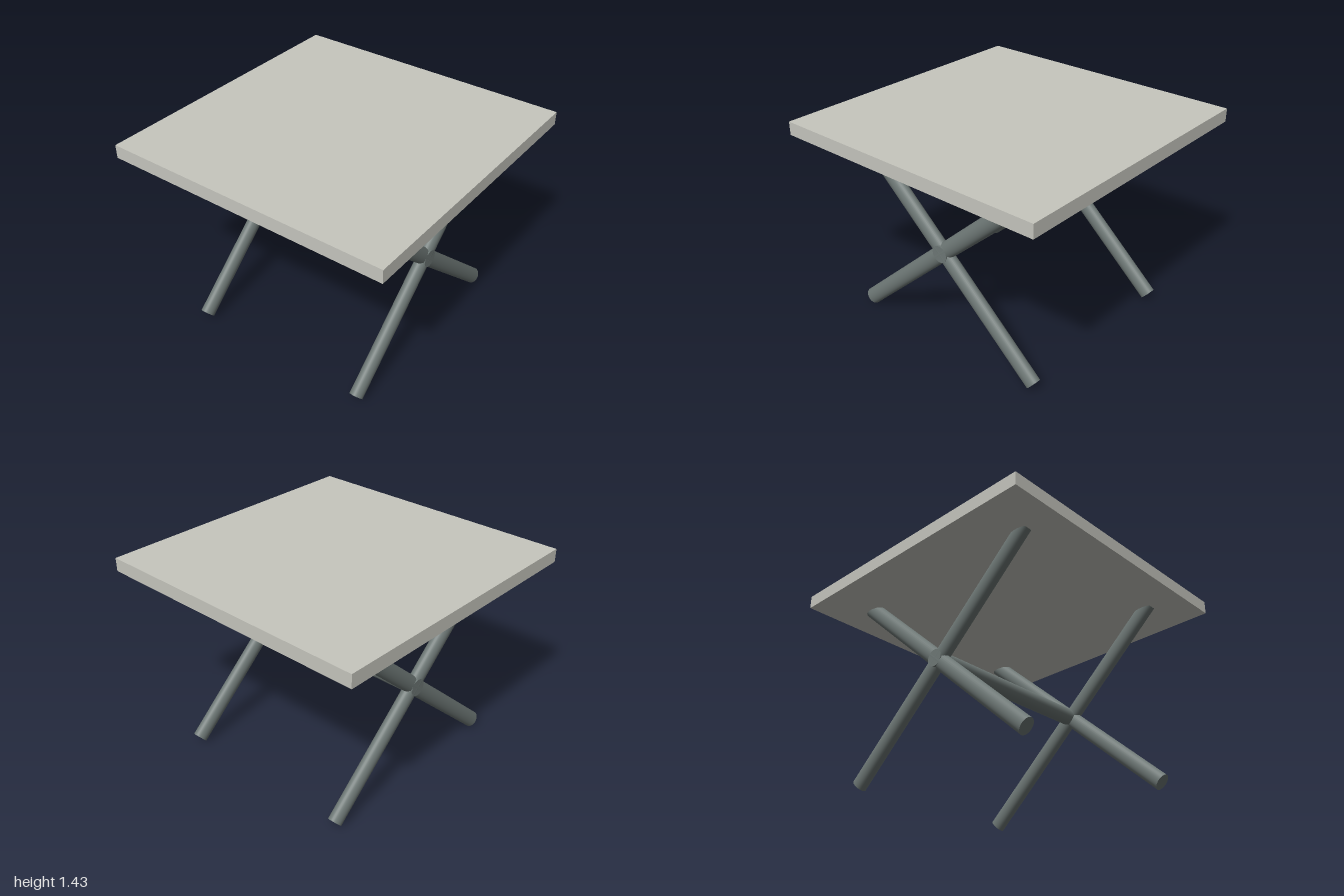
import * as THREE from 'three';

export function createModel() {
  const model = new THREE.Group();
  model.name = 'crossLegTable';
  const topMat = new THREE.MeshStandardMaterial({ color: 0xc6c6be });
  topMat.name = 'pale stone';
  const legMat = new THREE.MeshStandardMaterial({ color: 0x6e7876 });
  legMat.name = 'grey metal';

  const add = (name, geometry, material, x, y, z) => {
    const mesh = new THREE.Mesh(geometry, material);
    mesh.name = name;
    mesh.position.set(x, y, z);
    model.add(mesh);
    return mesh;
  };

  // square slab top
  add('tableTop', new THREE.BoxGeometry(2, 0.092, 2), topMat, 0, 1.391, 0);

  // crossed oval legs, one X at the front and one at the back
  const crossY = 0.711, reachX = 0.742, reachY = 0.666;
  const legGeometry = new THREE.CylinderGeometry(1, 1, 2 * Math.hypot(reachX, reachY), 32);
  legGeometry.scale(0.0575, 1, 0.044);
  for (const [end, z] of [['front', 0.659], ['back', -0.643]]) {
    for (const side of [1, -1]) {
      const leg = add(end + (side > 0 ? 'LeftLeg' : 'RightLeg'), legGeometry, legMat, 0, crossY, z);
      leg.rotation.z = side * Math.atan2(reachX, reachY);
    }
  }

  // stretcher joining the two crossings, its ends flush with the legs
  const stretcher = new THREE.CylinderGeometry(0.059, 0.059, 1.389, 32);
  stretcher.rotateX(Math.PI / 2);
  add('stretcher', stretcher, legMat, 0, 0.712, 0.008);

  return model;
}
